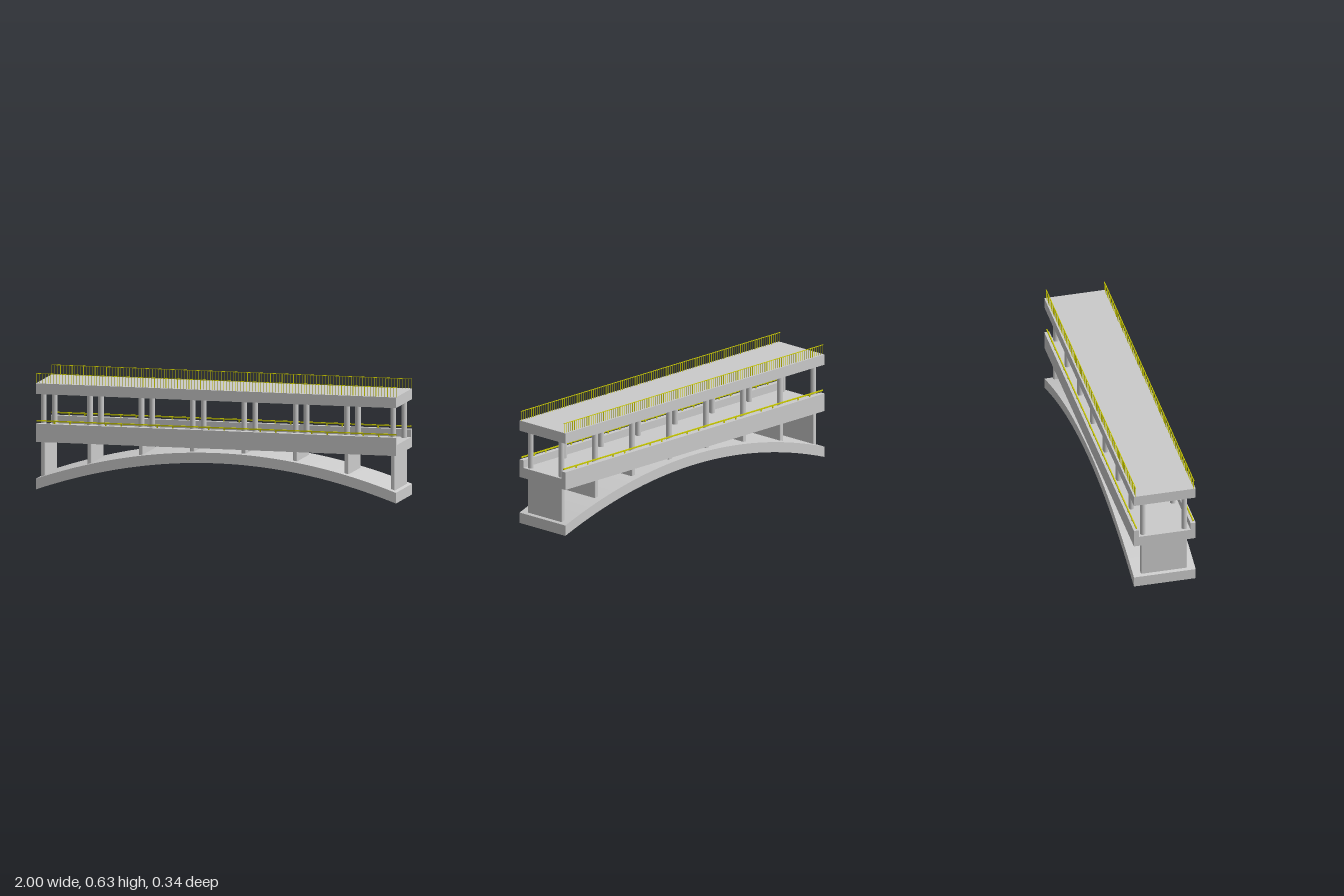
import * as THREE from 'three';

const grey = new THREE.MeshStandardMaterial({ color: 0xcccccc });
const yellow = new THREE.MeshStandardMaterial({ color: 0xcccc00 });

const HALF_WIDTH = 0.171;
const BAY = 2 / 7;
const RISE = 0.178;
const archTop = (x) => 0.058 + RISE * (1 - x * x);
const archBottom = (x) => RISE * (1 - x * x) + 0.002 * (1 - x * x);

function add(parent, name, geometry, material, x = 0, y = 0, z = 0) {
  const mesh = new THREE.Mesh(geometry, material);
  mesh.name = name;
  mesh.position.set(x, y, z);
  parent.add(mesh);
  return mesh;
}

// Box given by its bottom and top heights
function block(parent, name, material, w, d, y0, y1, x = 0, z = 0) {
  return add(parent, name, new THREE.BoxGeometry(w, y1 - y0, d), material, x, (y0 + y1) / 2, z);
}

// Curved arch slab, extruded across the width
function archGeometry() {
  const n = 64;
  const points = [];
  for (let i = 0; i <= n; i++) {
    const x = -1 + (2 * i) / n;
    points.push(new THREE.Vector2(x, archBottom(x)));
  }
  for (let i = n; i >= 0; i--) {
    const x = -1 + (2 * i) / n;
    points.push(new THREE.Vector2(x, archTop(x)));
  }
  const geo = new THREE.ExtrudeGeometry(new THREE.Shape(points), {
    depth: 2 * HALF_WIDTH, bevelEnabled: false,
  });
  return geo.translate(0, 0, -HALF_WIDTH);
}

// Trough-shaped deck with a parapet on both sides
function lowerDeckGeometry() {
  const inner = 0.143;
  const profile = [
    [-HALF_WIDTH, 0.258], [HALF_WIDTH, 0.258], [HALF_WIDTH, 0.357], [inner, 0.357],
    [inner, 0.315], [-inner, 0.315], [-inner, 0.357], [-HALF_WIDTH, 0.357],
  ].map(([z, y]) => new THREE.Vector2(z, y));
  const geo = new THREE.ExtrudeGeometry(new THREE.Shape(profile), { depth: 2, bevelEnabled: false });
  return geo.translate(0, 0, -1).rotateY(Math.PI / 2);
}

// Upright wall with rounded vertical corners
function wallGeometry(w, d, h, r) {
  const a = w / 2, b = d / 2;
  const s = new THREE.Shape();
  s.moveTo(-a + r, -b);
  s.lineTo(a - r, -b);
  s.absarc(a - r, -b + r, r, -Math.PI / 2, 0);
  s.lineTo(a, b - r);
  s.absarc(a - r, b - r, r, 0, Math.PI / 2);
  s.lineTo(-a + r, b);
  s.absarc(-a + r, b - r, r, Math.PI / 2, Math.PI);
  s.lineTo(-a, -b + r);
  s.absarc(-a + r, -b + r, r, Math.PI, Math.PI * 1.5);
  return new THREE.ExtrudeGeometry(s, { depth: h, bevelEnabled: false, curveSegments: 6 })
    .rotateX(-Math.PI / 2);
}

export function createModel() {
  const bridge = new THREE.Group();
  bridge.name = 'doubleDeckArchBridge';

  add(bridge, 'arch', archGeometry(), grey);
  add(bridge, 'lowerDeck', lowerDeckGeometry(), grey);
  block(bridge, 'upperDeck', grey, 2, 2 * HALF_WIDTH, 0.518, 0.576);

  // Supports: walls on the arch, round columns between the decks
  const supports = new THREE.Group();
  supports.name = 'supports';
  bridge.add(supports);
  const columnGeo = new THREE.CylinderGeometry(0.0155, 0.0155, 0.518 - 0.315, 24);
  for (let i = 0; i < 8; i++) {
    const x = THREE.MathUtils.clamp((i - 3.5) * BAY, -0.971, 0.971);
    const foot = archTop(Math.abs(x) + 0.012);
    add(supports, 'lowerWall', wallGeometry(0.024, 0.256, 0.258 - foot, 0.005), grey, x, foot);
    for (const side of [-1, 1]) {
      add(supports, 'upperColumn', columnGeo, grey, x, (0.315 + 0.518) / 2, side * 0.115);
    }
  }

  for (const side of [-1, 1]) {
    // Low rail on the parapet, two short posts per bay
    const lowRail = new THREE.Group();
    lowRail.name = 'parapetRail';
    bridge.add(lowRail);
    block(lowRail, 'railBar', yellow, 2, 0.006, 0.368, 0.375, 0, side * 0.157);
    for (let k = -3; k <= 3; k++) {
      for (const off of [-0.043, 0.043]) {
        block(lowRail, 'railPost', yellow, 0.008, 0.003, 0.357, 0.368, k * BAY + off, side * 0.157);
      }
    }

    // Railing of thin bars on the upper deck
    const z = side * 0.161;
    const railing = new THREE.Group();
    railing.name = 'upperRailing';
    bridge.add(railing);
    block(railing, 'handrail', yellow, 2, 0.004, 0.627, 0.63, 0, z);
    const count = 125;
    const bars = new THREE.BoxGeometry(0.0024, 0.051, 0.0024);
    for (let i = 0; i <= count; i++) {
      add(railing, 'railingBar', bars, yellow, -0.9988 + (1.9976 * i) / count, 0.6015, z);
    }
  }

  return bridge;
}
